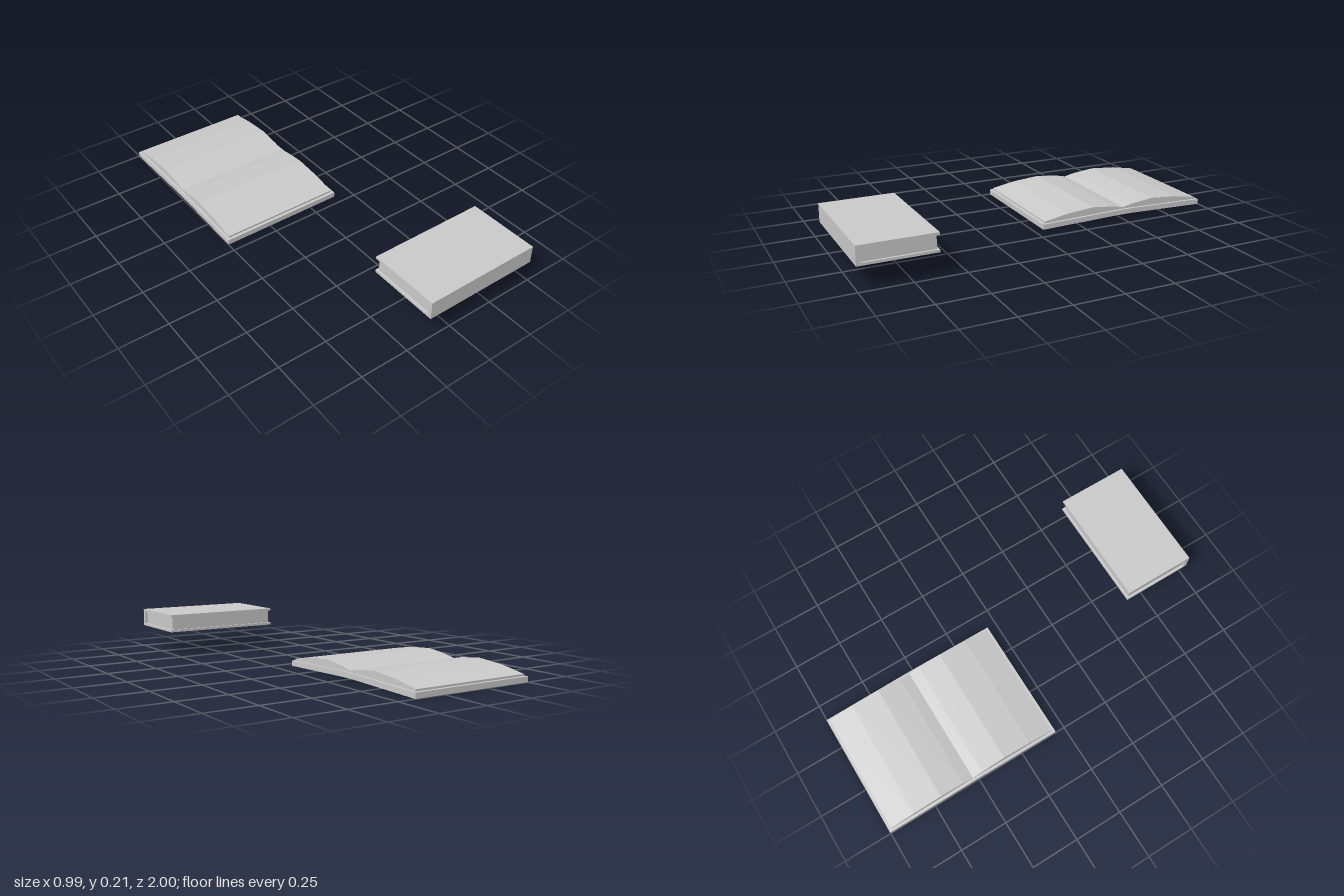
import * as THREE from 'three';

const material = new THREE.MeshStandardMaterial({ color: 0xcccccc, flatShading: true });

// Extrudes a (z, y) outline along x, centred on x = 0
function extrudeAlongX(name, points, length) {
  const shape = new THREE.Shape(points.map(([z, y]) => new THREE.Vector2(-z, y)));
  const geometry = new THREE.ExtrudeGeometry(shape, { depth: length, bevelEnabled: false });
  geometry.translate(0, 0, -length / 2).rotateY(Math.PI / 2);
  const mesh = new THREE.Mesh(geometry, material);
  mesh.name = name;
  return mesh;
}

// Mirrors a half profile (centre to outer edge) into a full one
const mirrored = (half) => [
  ...half.filter(([z]) => z > 0).reverse().map(([z, y]) => [-z, y]),
  ...half,
];

const outline = (top, bottom) => [...mirrored(top), ...mirrored(bottom).reverse()];

function createOpenBook() {
  const book = new THREE.Group();
  book.name = 'openBook';

  // Two boards sloping up to a flat spine
  const cover = extrudeAlongX('openCover', outline(
    [[0.04, 0.038], [0.474, 0.027]],
    [[0.04, 0.012], [0.474, 0]],
  ), 0.657);

  // Pages curving up from the gutter and down to the fore edges
  const pages = extrudeAlongX('openPages', outline(
    [[0, 0.046], [0.055, 0.058], [0.18, 0.072], [0.33, 0.06], [0.459, 0.037]],
    [[0.04, 0.037], [0.459, 0.027]],
  ), 0.631);

  book.add(cover, pages);
  book.position.set(-0.171, 0, -0.526);
  return book;
}

function createClosedBook() {
  const book = new THREE.Group();
  book.name = 'closedBook';

  // Spine and both boards in one C-shaped section, open to the back
  const cover = extrudeAlongX('closedCover', [
    [1, 0.116], [1, 0.209], [0.626, 0.209], [0.626, 0.196],
    [0.979, 0.196], [0.979, 0.129], [0.626, 0.129], [0.626, 0.116],
  ], 0.62);

  // Page block set in from the board edges
  const pages = new THREE.Mesh(new THREE.BoxGeometry(0.596, 0.067, 0.342), material);
  pages.name = 'closedPages';
  pages.position.set(0, 0.1625, 0.808);

  book.add(cover, pages);
  book.position.x = 0.185;
  return book;
}

export function createModel() {
  const model = new THREE.Group();
  model.name = 'books';
  model.add(createOpenBook(), createClosedBook());
  return model;
}
